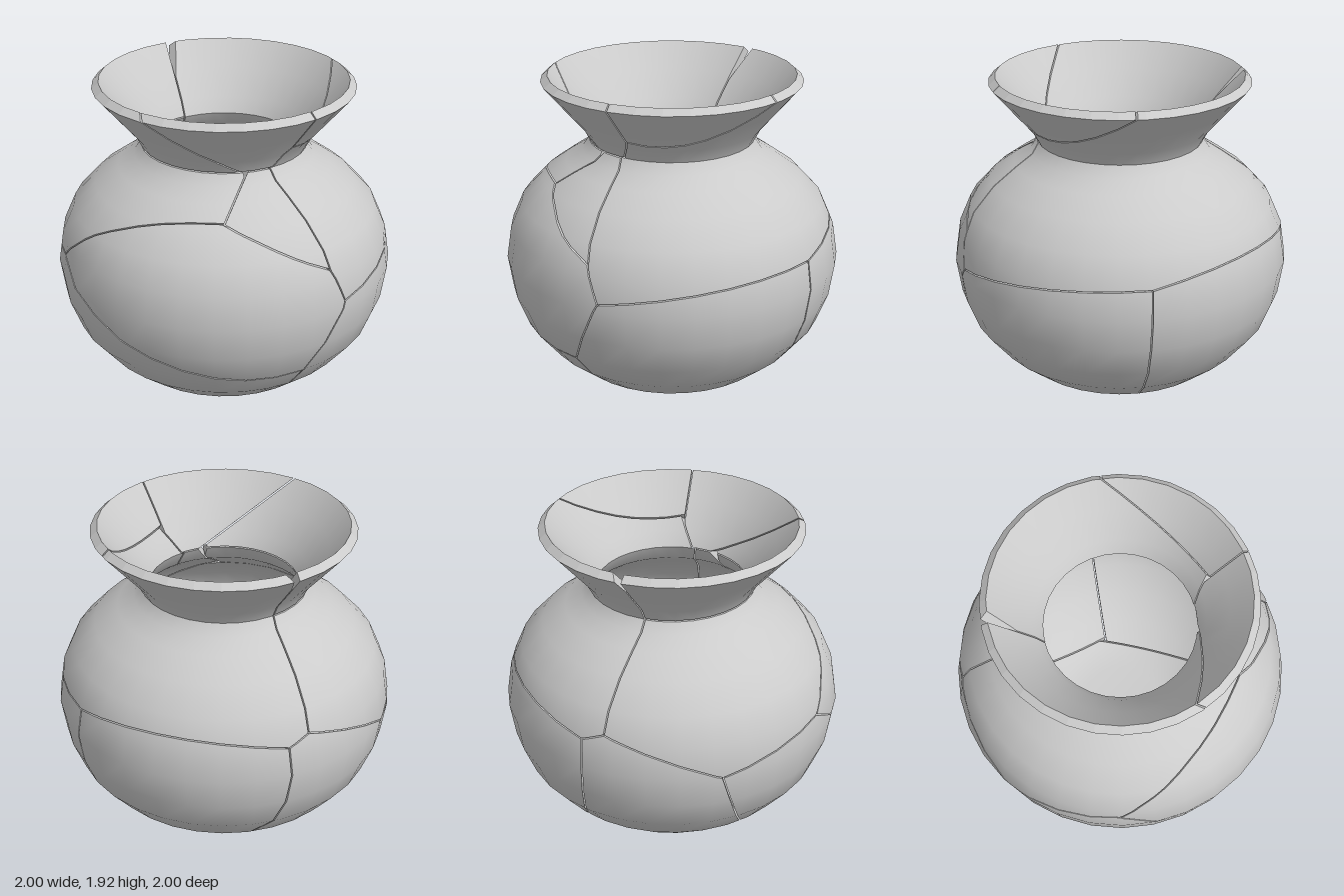
import * as THREE from 'three';

const SEGMENTS = 32, HALF_GAP = 0.004;
const V = (x, y, z) => new THREE.Vector3(x, y, z);

// Wall profiles [radius, height]; outer and inner rows pair up
const BANDS = {
  body: {
    outer: [[0, 0], [0.28, 0], [0.43, 0.04], [0.6, 0.13], [0.765, 0.265], [0.9, 0.43], [0.97, 0.61], [1, 0.81],
      [0.97, 1], [0.9, 1.16], [0.77, 1.3], [0.63, 1.4], [0.53, 1.465], [0.487, 1.53]],
    inner: [[0, 0.05], [0.27, 0.05], [0.41, 0.09], [0.57, 0.17], [0.72, 0.3], [0.85, 0.46], [0.92, 0.62], [0.945, 0.81],
      [0.92, 0.98], [0.85, 1.13], [0.73, 1.26], [0.6, 1.36], [0.49, 1.43], [0.437, 1.53]],
  },
  neck: {
    outer: [[0.487, 1.53], [0.53, 1.61], [0.65, 1.75], [0.765, 1.885]],
    inner: [[0.437, 1.53], [0.485, 1.62], [0.605, 1.775], [0.725, 1.92]],
  },
};

// Points where cracks meet
const A = V(-0.39, 0.93, 0.9), B = V(-0.9, 0.8, 0.42), M = V(0.54, 1.325, 0.48), N = V(0.96, 1.05, 0.05),
  J = V(0.99, 0.85, -0.03), Q = V(0.88, 0.42, 0.18), K = V(0.73, 0.25, 0.15), L = V(-0.92, 1.03, -0.24),
  P = V(-0.9, 0.98, -0.37), R = V(0.19, 0.98, -0.95), S = V(0.09, 0.07, -0.46), T = V(-0.48, 1.52, -0.08),
  U = V(0.43, 1.48, 0.24), W = V(0.49, 1.5, 0.08), E = V(0.57, 1.66, 0);
const axis = (y) => V(0, y, 0);

// Each crack is a plane through three points
const CRACKS = {
  AB: [A, B, axis(0.7)], AM: [A, V(0.05, 1.23, 0.83), M], AQ: [A, V(0.2, 0.62, 0.95), Q],
  BK: [B, V(-0.1, 0.05, 0.43), K], MN: [M, V(0.855, 1.16, 0.25), N], NJ: [N, J, axis(0.9)],
  JQ: [J, Q, axis(0.7)], QK: [Q, K, axis(0.7)], JR: [J, V(0.85, 0.93, -0.5), R],
  LP: [L, P, axis(0.9)], LB: [L, B, axis(0.7)], PR: [P, V(-0.455, 1.05, -0.82), R],
  PS: [P, V(-0.67, 0.27, -0.4), S], RS: [R, V(0.19, 0.48, -0.91), S], SK: [S, V(0.47, 0.09, -0.17), K],
  LT: [L, T, V(-0.7, 1.9, -0.15)], MU: [M, U, axis(1)], NW: [N, W, axis(1.2)],
  seam: [axis(1.53), V(1, 1.53, 0), V(0, 1.53, 1)],
  neckFront: [V(0.15, 1.9, 0.73), V(0.4, 1.56, 0.3), V(0.28, 1.74, 0.575)],
  neckSide: [V(0.8, 1.9, 0.02), E, axis(1.9)],
  neckBack: [V(0.19, 1.9, -0.73), E, V(0.48, 1.66, -0.3)],
  neckLow: [E, W, axis(1.6)],
};

// Shards: name, wall band, a point inside, bounding cracks
const SHARDS = [
  ['baseShard', 'body', V(-0.4, 0.2, 0), 'LP LB PS SK BK'],
  ['frontLowerShard', 'body', V(0.2, 0.3, 0.8), 'AB AQ QK BK'],
  ['frontSideShard', 'body', V(0.7, 0.85, 0.6), 'AM AQ MN NJ JQ'],
  ['backSideShard', 'body', V(0.6, 0.5, -0.6), 'JQ QK JR RS SK'],
  ['backLowerShard', 'body', V(-0.4, 0.5, -0.75), 'PR PS RS'],
  ['frontShoulderShard', 'body', V(-0.3, 1.35, 0.5), 'AB AM LB LT MU seam'],
  ['backShoulderShard', 'body', V(0, 1.2, -0.7), 'LP PR JR NJ NW LT'],
  ['smallShoulderShard', 'body', V(0.65, 1.3, 0.2), 'MN MU NW seam'],
  ['frontNeckShard', 'neck', V(-0.4, 1.7, 0.4), 'LT neckFront seam'],
  ['backNeckShard', 'neck', V(-0.3, 1.7, -0.5), 'LT neckBack neckLow'],
  ['sideNeckShard', 'neck', V(0.5, 1.75, 0.4), 'neckFront neckSide neckLow seam'],
  ['rimShard', 'neck', V(0.6, 1.85, -0.4), 'neckSide neckBack'],
];

// Smooth normals along a profile, in the (radius, height) plane
function profileNormals(rows, side) {
  return rows.map((row, i) => {
    const a = rows[Math.max(i - 1, 0)], b = rows[Math.min(i + 1, rows.length - 1)];
    const n = new THREE.Vector2(b[1] - a[1], a[0] - b[0]).normalize().multiplyScalar(side);
    return row[0] === 0 ? new THREE.Vector2(0, -side) : n;
  });
}

// Split a wall band into small convex blocks
function wallBlocks({ outer, inner }, openTop) {
  const on = profileNormals(outer, 1), inn = profileNormals(inner, -1), blocks = [];
  const spin = (r, y, k) => {
    const t = (k / SEGMENTS) * Math.PI * 2;
    return V(r * Math.sin(t), y, r * Math.cos(t));
  };
  for (let i = 0; i < outer.length - 1; i++) {
    for (let k = 0; k < SEGMENTS; k++) {
      const vert = (rows, ns, j, s) => ({ p: spin(...rows[j], s), n: spin(ns[j].x, ns[j].y, s) });
      const o = (j, s) => vert(outer, on, j, s), w = (j, s) => vert(inner, inn, j, s);
      const plain = (verts, show, n) => ({ show, verts: verts.map((v) => ({ p: v.p, n: n || v.n })) });
      const top = i + 1, next = k + 1;
      const rim = [o(top, k), o(top, next), w(top, next), w(top, k)];
      const isRim = openTop && top === outer.length - 1;
      const rimNormal = rim[1].p.clone().sub(rim[0].p).cross(rim[3].p.clone().sub(rim[0].p)).normalize();
      if (rimNormal.y < 0) rimNormal.negate();
      blocks.push([
        plain([o(i, k), o(i, next), o(top, next), o(top, k)], true),
        plain([w(i, k), w(i, next), w(top, next), w(top, k)], true),
        plain(rim, isRim, rimNormal),
        plain([o(i, k), o(i, next), w(i, next), w(i, k)], false),
        plain([o(i, k), o(top, k), w(top, k), w(i, k)], false),
        plain([o(i, next), o(top, next), w(top, next), w(i, next)], false),
      ]);
    }
  }
  return blocks;
}

// Cut a convex block by a plane, keep its positive side and close the cut
function clipBlock(faces, plane) {
  const kept = [], cut = [];
  for (const { show, verts } of faces) {
    const out = [];
    verts.forEach((a, i) => {
      const b = verts[(i + 1) % verts.length];
      const da = plane.distanceToPoint(a.p), db = plane.distanceToPoint(b.p);
      if (da >= 0) out.push(a);
      if (da >= 0 !== db >= 0) {
        const t = da / (da - db), p = a.p.clone().lerp(b.p, t);
        out.push({ p, n: a.n.clone().lerp(b.n, t).normalize() });
        cut.push(p);
      }
    });
    if (out.length > 2) kept.push({ show, verts: out });
  }
  if (cut.length > 2) {
    const n = plane.normal.clone().negate();
    const mid = cut.reduce((s, p) => s.add(p), V(0, 0, 0)).divideScalar(cut.length);
    const u = V(n.y, n.z, n.x).cross(n).normalize(), v = n.clone().cross(u);
    const turn = (p) => Math.atan2(p.clone().sub(mid).dot(v), p.clone().sub(mid).dot(u));
    cut.sort((a, b) => turn(a) - turn(b));
    kept.push({ show: true, verts: cut.map((p) => ({ p, n })) });
  }
  return kept;
}

// Fan each shown face into triangles that face along their normals
function facesToGeometry(faces) {
  const pos = [], nor = [];
  for (const { show, verts } of faces) {
    if (!show) continue;
    for (let i = 1; i < verts.length - 1; i++) {
      let tri = [verts[0], verts[i], verts[i + 1]];
      const g = tri[1].p.clone().sub(tri[0].p).cross(tri[2].p.clone().sub(tri[0].p));
      if (g.length() < 1e-9) continue;
      if (g.dot(tri[0].n) + g.dot(tri[1].n) + g.dot(tri[2].n) < 0) tri = [tri[0], tri[2], tri[1]];
      for (const { p, n } of tri) {
        pos.push(p.x, p.y, p.z);
        nor.push(n.x, n.y, n.z);
      }
    }
  }
  const geometry = new THREE.BufferGeometry();
  geometry.setAttribute('position', new THREE.Float32BufferAttribute(pos, 3));
  geometry.setAttribute('normal', new THREE.Float32BufferAttribute(nor, 3));
  return geometry;
}

export function createModel() {
  const vase = new THREE.Group();
  vase.name = 'crackedVase';
  const material = new THREE.MeshStandardMaterial({ color: 0xcccccc });
  const blocks = { body: wallBlocks(BANDS.body, false), neck: wallBlocks(BANDS.neck, true) };
  for (const [name, band, inside, cracks] of SHARDS) {
    const planes = cracks.split(' ').map((key) => {
      const plane = new THREE.Plane().setFromCoplanarPoints(...CRACKS[key]);
      if (plane.distanceToPoint(inside) < 0) plane.negate();
      plane.constant -= HALF_GAP;
      return plane;
    });
    const faces = blocks[band].flatMap((block) => planes.reduce(clipBlock, block));
    const shard = new THREE.Mesh(facesToGeometry(faces), material);
    shard.name = name;
    vase.add(shard);
  }
  return vase;
}
